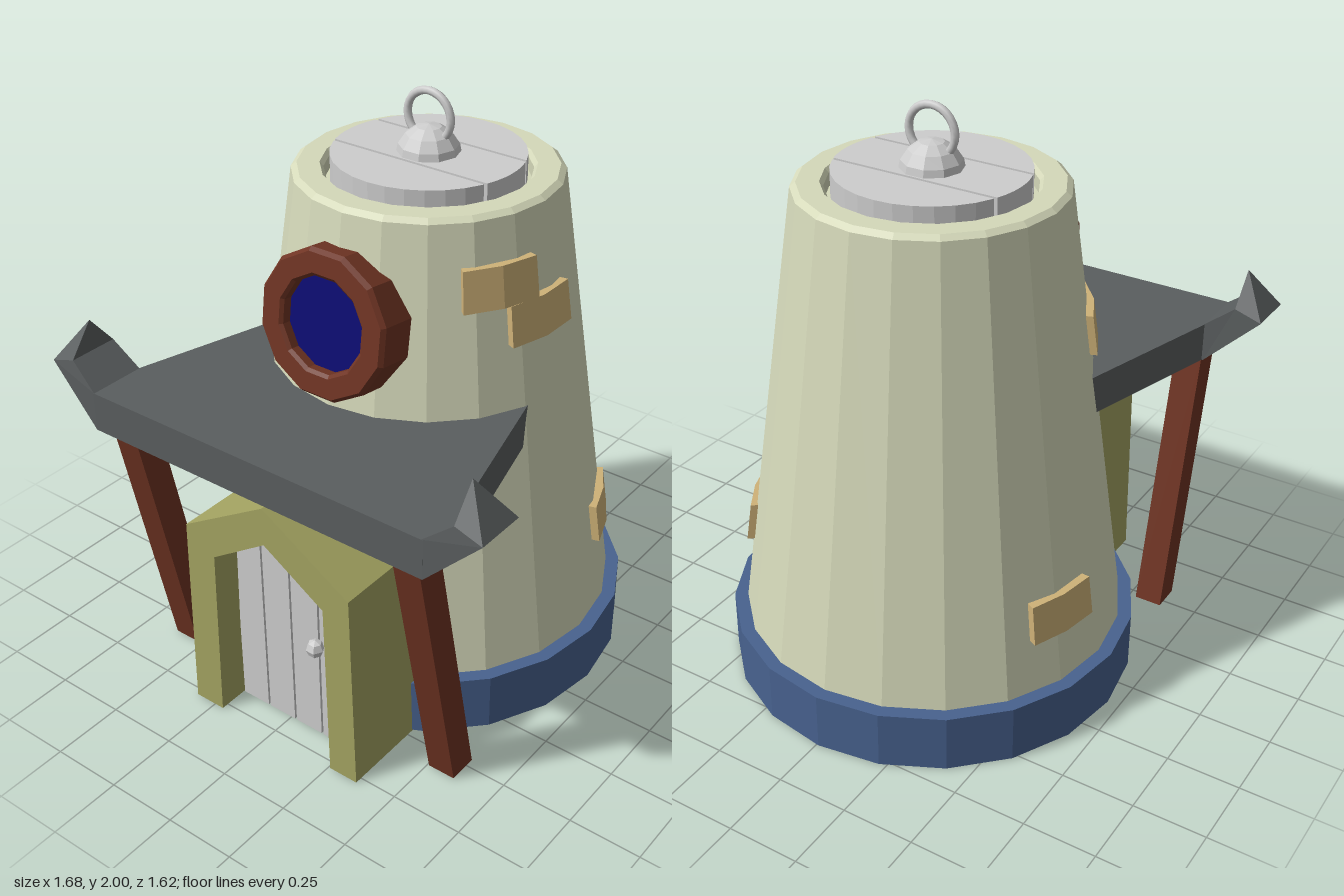
import * as THREE from 'three';

const material = (name, color) => {
  const m = new THREE.MeshStandardMaterial({ color });
  m.name = name;
  return m;
};

// Facet a geometry so that every face has its own normal
const facet = (geometry) => {
  const g = geometry.index ? geometry.toNonIndexed() : geometry;
  g.computeVertexNormals();
  return g;
};

const shapeOf = (points) => new THREE.Shape(points.map(([x, y]) => new THREE.Vector2(x, y)));
const extrude = (points, depth) =>
  new THREE.ExtrudeGeometry(shapeOf(points), { depth, bevelEnabled: false });
const lathe = (points, sides) =>
  facet(new THREE.LatheGeometry(points.map(([x, y]) => new THREE.Vector2(x, y)), sides));

// Tower axis and wall radius at a given height
const AXIS_X = -0.01, AXIS_Z = -0.11;
const wallRadius = (y) => 0.655 - (y - 0.2) * 0.142;

// Brick bent around the sloping wall
function brickGeometry(angle, y, width, height) {
  const g = new THREE.BoxGeometry(width, height, 0.06, 2, 1, 1);
  const p = g.attributes.position;
  for (let i = 0; i < p.count; i++) {
    const h = y + p.getY(i);
    const a = angle + p.getX(i) / wallRadius(y);
    const r = wallRadius(h) + p.getZ(i) - 0.008;
    p.setXYZ(i, Math.sin(a) * r, h, Math.cos(a) * r);
  }
  return facet(g);
}

// Upturned roof end lofted through four-cornered sections, closing in a point
function hornGeometry(side) {
  // each section: inner x, inner y, outer x, outer y, back z, front z
  const sections = [
    [0.6, 1.11, 0.6, 0.973, 0.61, 0.81],
    [0.645, 1.11, 0.65, 0.973, 0.61, 0.81],
    [0.745, 1.19, 0.84, 1.16, 0.62, 0.795],
    [0.745, 1.3, 0.745, 1.3, 0.71, 0.71],
  ].map(([ix, iy, ox, oy, z0, z1]) =>
    [[ix, iy, z1], [ix, iy, z0], [ox, oy, z0], [ox, oy, z1]]);
  const pos = [];
  const tri = (a, b, c) => (side > 0 ? [a, b, c] : [a, c, b])
    .forEach(([x, y, z]) => pos.push(x * side, y, z));
  for (let s = 0; s < sections.length - 1; s++) {
    for (let k = 0; k < 4; k++) {
      const n = (k + 1) % 4;
      const a = sections[s][k], b = sections[s][n], c = sections[s + 1][n], d = sections[s + 1][k];
      tri(a, d, b);
      if (s < sections.length - 2) tri(b, d, c);
    }
  }
  const g = new THREE.BufferGeometry();
  g.setAttribute('position', new THREE.Float32BufferAttribute(pos, 3));
  // Ensure the faces look outwards
  const p = g.attributes.position;
  const center = new THREE.Vector3(0.72 * side, 1.1, 0.71);
  const [a, b, c] = [0, 1, 2].map((i) => new THREE.Vector3().fromBufferAttribute(p, i));
  const normal = b.clone().sub(a).cross(c.clone().sub(a));
  if (normal.dot(a.clone().sub(center)) < 0) {
    for (let i = 0; i < p.count; i += 3) {
      const u = [p.getX(i), p.getY(i), p.getZ(i)];
      p.setXYZ(i, p.getX(i + 1), p.getY(i + 1), p.getZ(i + 1));
      p.setXYZ(i + 1, ...u);
    }
  }
  g.computeVertexNormals();
  return g;
}

export function createModel() {
  const model = new THREE.Group();
  const stone = material('pale stone', 0xd5d9ba);
  const blue = material('blue foundation', 0x48628f);
  const slate = material('slate roof', 0x5a5e5f);
  const wood = material('red brown wood', 0x6f3423);
  const olive = material('olive frame', 0xa4a462);
  const metal = material('light grey', 0xcdcdcd);
  const navy = material('navy glass', 0x0b0b72);
  const tan = material('tan brick', 0xcfb278);

  const add = (name, geometry, mat, x = 0, y = 0, z = 0, parent = model) => {
    const mesh = new THREE.Mesh(geometry, mat);
    mesh.name = name;
    mesh.position.set(x, y, z);
    parent.add(mesh);
    return mesh;
  };

  // Tower body with a recessed top
  const tower = new THREE.Group();
  tower.name = 'tower';
  tower.position.set(AXIS_X, 0, AXIS_Z);
  model.add(tower);
  add('foundation', lathe([[0, 0.003], [0.7, 0.003], [0.7, 0.205], [0, 0.205]], 20), blue, 0, 0, 0, tower);
  add('wall', lathe([[0.656, 0.19], [0.437, 1.735], [0.418, 1.75], [0.345, 1.75],
    [0.333, 1.735], [0.333, 1.69], [0, 1.69]], 20), stone, 0, 0, 0, tower);

  // Bricks: angle in degrees from the front, height, width, brick height
  [[-56, 1.265, 0.25, 0.135], [64, 1.53, 0.25, 0.135], [82, 1.395, 0.26, 0.135],
    [116, 0.52, 0.25, 0.135], [-106, 0.46, 0.25, 0.135]].forEach(([deg, y, w, h]) =>
    add('brick', brickGeometry(THREE.MathUtils.degToRad(deg), y, w, h), tan, 0, 0, 0, tower));

  // Lid made of planks cut from a disc
  const lidRadius = 0.313;
  const cuts = [-lidRadius, -0.11, 0.11, lidRadius];
  for (let i = 0; i < 3; i++) {
    const z0 = cuts[i] + (i ? 0.006 : 0), z1 = cuts[i + 1] - (i < 2 ? 0.006 : 0);
    const right = [], left = [];
    for (let k = 0; k <= 6; k++) {
      const a0 = Math.asin(z0 / lidRadius), a1 = Math.asin(z1 / lidRadius);
      const a = a0 + (a1 - a0) * k / 6;
      right.push([Math.cos(a) * lidRadius, Math.sin(a) * lidRadius]);
      left.unshift([-Math.cos(a) * lidRadius, Math.sin(a) * lidRadius]);
    }
    const g = extrude([...right, ...left], 0.09);
    g.rotateX(-Math.PI / 2);
    add('lidPlank', g, metal, 0, 1.7, 0, tower);
  }
  add('lidCore', new THREE.CylinderGeometry(0.3, 0.3, 0.08, 20), metal, 0, 1.735, 0, tower);
  add('lidKnob', facet(new THREE.SphereGeometry(0.106, 10, 8)), metal, 0, 1.773, 0, tower);
  add('lidRing', new THREE.TorusGeometry(0.083, 0.0135, 8, 28), metal, 0, 1.904, 0, tower);

  // Round window leaning with the wall
  const windowGroup = new THREE.Group();
  windowGroup.name = 'roundWindow';
  windowGroup.position.set(AXIS_X, 1.38, 0.295);
  windowGroup.rotation.x = -0.14;
  model.add(windowGroup);
  const ring = lathe([[0.157, 0], [0.247, 0], [0.247, 0.135], [0.235, 0.15],
    [0.168, 0.15], [0.157, 0.14], [0.157, 0]], 12);
  ring.rotateY(Math.PI / 12).rotateX(Math.PI / 2);
  add('windowFrame', ring, wood, 0, 0, 0, windowGroup);
  const glass = new THREE.CircleGeometry(0.165, 12);
  glass.rotateZ(Math.PI / 12);
  add('windowGlass', glass, navy, 0, 0, 0.108, windowGroup);

  // Porch roof: flat slab narrowing into the wall, with upturned ends
  const slab = extrude([[-0.65, -0.81], [0.65, -0.81], [0.645, -0.605],
    [0.49, -0.035], [-0.49, -0.035], [-0.645, -0.605]], 0.137);
  slab.rotateX(-Math.PI / 2);
  add('porchRoof', slab, slate, 0, 0.973, 0);
  for (const side of [-1, 1]) {
    add('roofHorn', hornGeometry(side), slate);

    // Leaning posts
    const post = new THREE.BoxGeometry(0.098, 0.985, 0.103);
    const p = post.attributes.position;
    for (let i = 0; i < p.count; i++) p.setZ(i, p.getZ(i) + p.getY(i) * 0.2);
    add('porchPost', facet(post), wood, -0.01 + side * 0.565, 0.4925, 0.619);
  }

  // Door frame
  add('doorFrame', extrude([[-0.33, 0], [-0.215, 0], [-0.2, 0.645], [0.018, 0.79],
    [0.248, 0.645], [0.257, 0], [0.365, 0], [0.35, 0.725], [0.018, 0.927], [-0.315, 0.725]], 0.44),
  olive, 0, 0, 0.335);

  // Door planks under the pointed arch
  const doorTop = (x) => 0.785 - Math.abs(x - 0.018) * 0.645;
  const edges = [-0.212, -0.095, 0.022, 0.138, 0.254];
  for (let i = 0; i < 4; i++) {
    const a = edges[i] + 0.004, b = edges[i + 1] - 0.004;
    const outline = [[a, 0.004], [b, 0.004], [b, doorTop(b)]];
    if (a < 0.018 && b > 0.018) outline.push([0.018, doorTop(0.018)]);
    outline.push([a, doorTop(a)]);
    add('doorPlank', extrude(outline, 0.06), metal, 0, 0, 0.61);
  }
  add('doorBacking', extrude([[-0.212, 0.004], [0.254, 0.004], [0.248, 0.635],
    [0.018, 0.782], [-0.2, 0.635]], 0.04), metal, 0, 0, 0.615);
  add('doorKnob', facet(new THREE.SphereGeometry(0.032, 6, 4)), metal, 0.138, 0.385, 0.69);

  return model;
}
